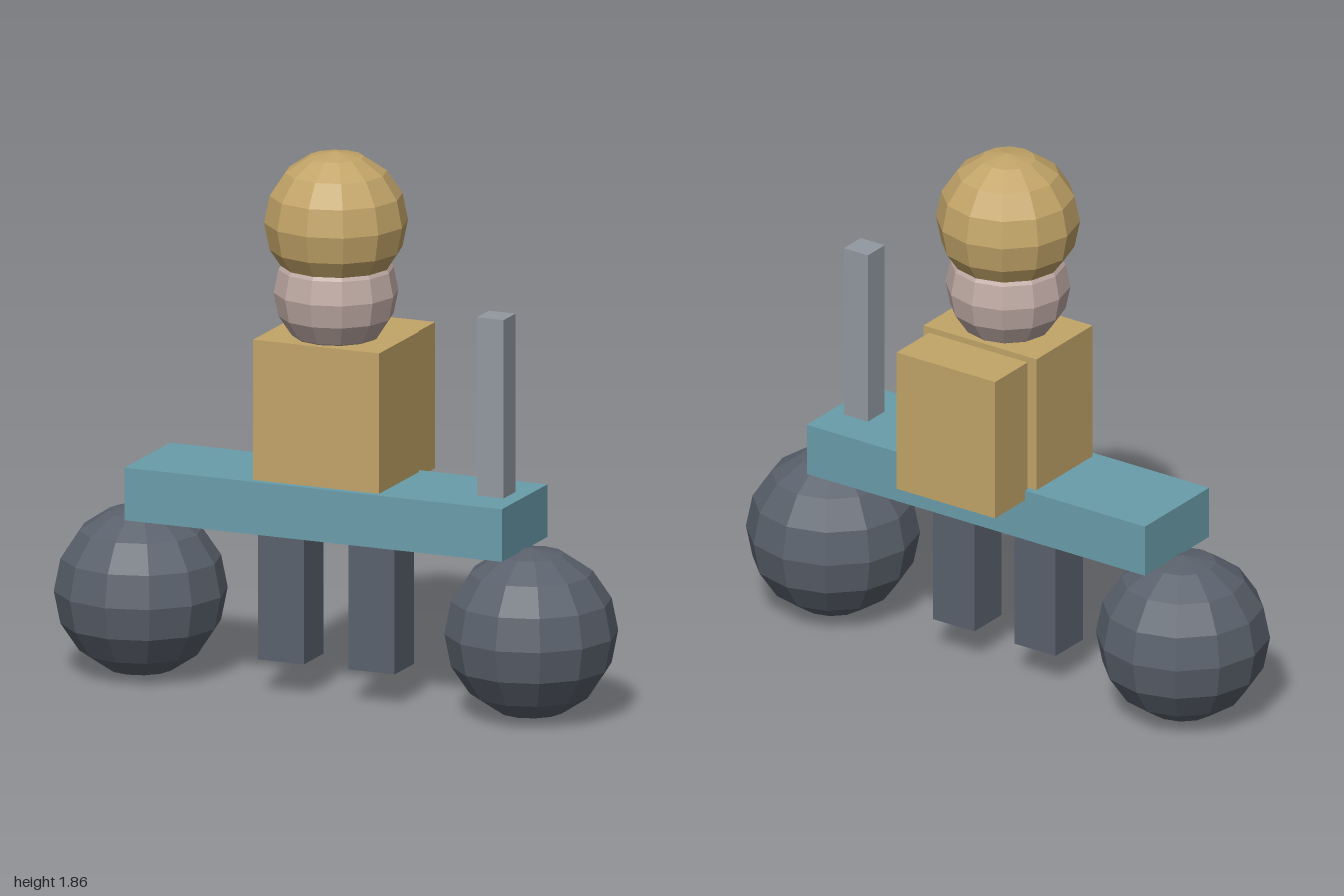
import * as THREE from 'three';

const mat = (name, color, flatShading = false) => {
  const m = new THREE.MeshStandardMaterial({ color, flatShading });
  m.name = name;
  return m;
};

const MID = 0.034; // z of the main axis

export function createModel() {
  const group = new THREE.Group();
  group.name = 'riderOnCart';

  const gold = mat('gold', 0xc2a468, true);
  const skin = mat('skin', 0xbfaaa4, true);
  const teal = mat('teal', 0x6a9dab, true);
  const dark = mat('darkGrey', 0x5a616c, true);
  const steel = mat('steel', 0x9299a1, true);

  // Box given by its size, its bottom height and its centre in x and z
  const box = (name, material, w, h, d, x, bottom, z = MID) => {
    const mesh = new THREE.Mesh(new THREE.BoxGeometry(w, h, d), material);
    mesh.name = name;
    mesh.position.set(x, bottom + h / 2, z);
    group.add(mesh);
  };

  // Faceted ball
  const ball = (name, material, r, x, y) => {
    const mesh = new THREE.Mesh(new THREE.SphereGeometry(r, 12, 8), material);
    mesh.name = name;
    mesh.position.set(x, y, MID);
    group.add(mesh);
  };

  // Cart: deck, ball wheels and upright lever
  box('deck', teal, 1.372, 0.18, 0.37, 0, 0.57);
  box('lever', steel, 0.097, 0.62, 0.097, 0.583, 0.74);

  for (const [side, s] of [['left', 1], ['right', -1]]) {
    ball(side + 'Wheel', dark, 0.29, s * 0.71, 0.29);
    box(side + 'Leg', dark, 0.167, 0.47, 0.157, s * 0.165, 0.115);
  }

  // Rider: torso, backpack, head and helmet
  box('torso', gold, 0.458, 0.49, 0.322, 0, 0.74);
  box('backpack', gold, 0.4, 0.5, 0.187, 0, 0.715, -0.2305);
  ball('head', skin, 0.208, 0, 1.382);
  ball('helmet', gold, 0.24, 0, 1.622);

  return group;
}
